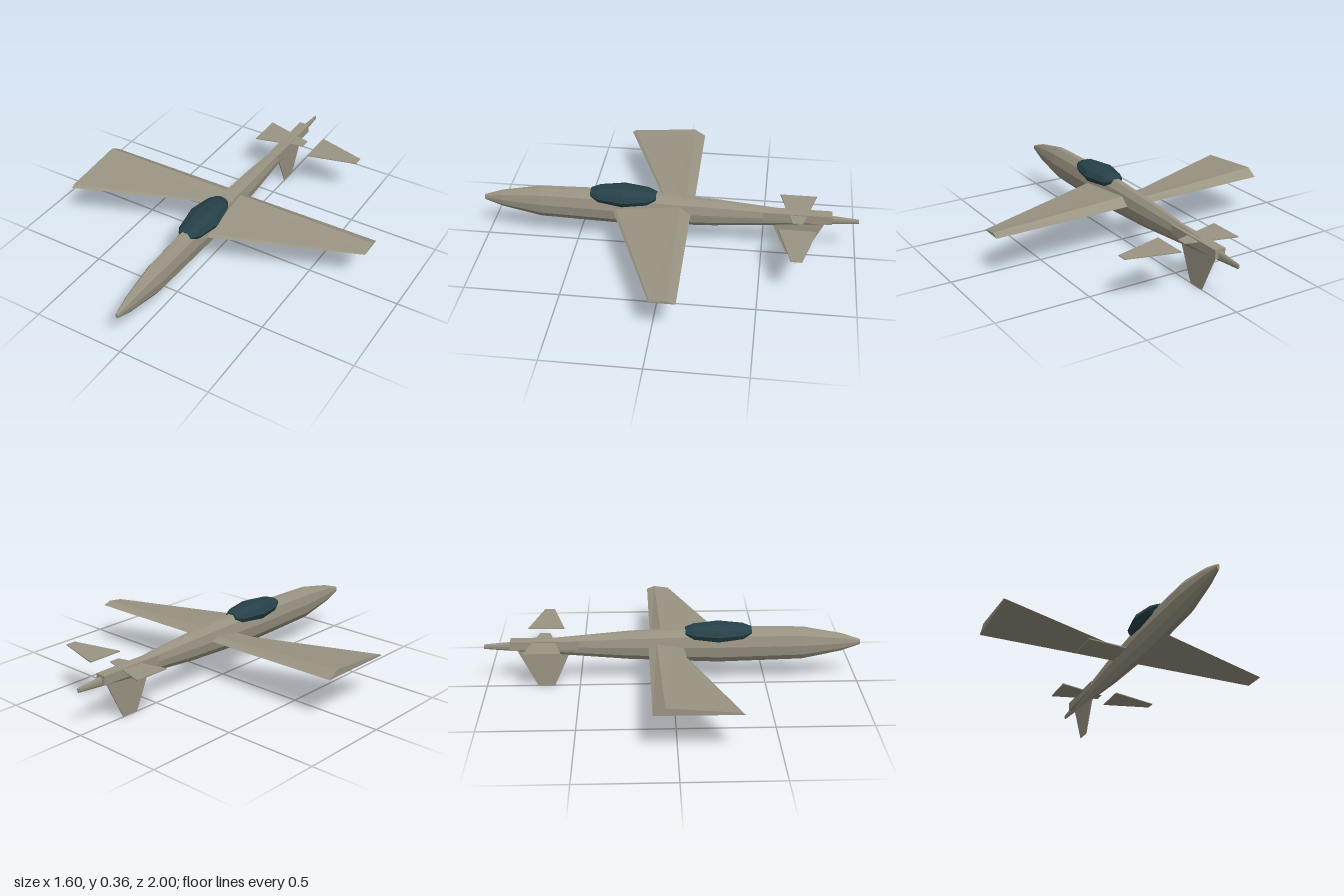
import * as THREE from 'three';

const paint = new THREE.MeshStandardMaterial({ color: 0x9a9483, flatShading: true });
const glass = new THREE.MeshStandardMaterial({ color: 0x264149, flatShading: true });

// Closed skin through cross-sections; the first one runs counter-clockwise seen from outside
function loft(name, sections, material) {
  const n = sections[0].length;
  const last = (sections.length - 1) * n;
  const index = [];
  for (let s = 0; s < last; s += n) {
    for (let i = 0; i < n; i++) {
      const j = (i + 1) % n;
      index.push(s + i, s + n + i, s + j, s + j, s + n + i, s + n + j);
    }
  }
  for (let i = 1; i < n - 1; i++) {
    index.push(0, i, i + 1, last, last + i + 1, last + i);
  }
  const geometry = new THREE.BufferGeometry();
  geometry.setAttribute('position', new THREE.Float32BufferAttribute(sections.flat(2), 3));
  geometry.setIndex(index);
  const flat = geometry.toNonIndexed();
  flat.computeVertexNormals();
  const mesh = new THREE.Mesh(flat, material);
  mesh.name = name;
  return mesh;
}

// Ten-sided oval ring across the body
function ring([z, cy, rx, ry]) {
  return Array.from({ length: 10 }, (_, i) => {
    const a = (i / 10) * Math.PI * 2;
    return [rx * Math.cos(a), cy + ry * Math.sin(a), z];
  });
}

// Section at one x from [z, y] pairs
const rib = (x, points) => points.map(([z, y]) => [x, y, z]);

// Thin flat rib
const thinRib = (x, front, back, y, t) =>
  rib(x, [[front, y - t], [front, y + t], [back, y + t], [back, y - t]]);

export function createModel() {
  const model = new THREE.Group();
  model.name = 'aircraft';

  // Slender body: z, centre y, half width, vertical radius
  const body = [
    [1.0, 0.235, 0.007, 0.015], [0.9, 0.235, 0.024, 0.05], [0.69, 0.234, 0.046, 0.092],
    [0.24, 0.234, 0.055, 0.103], [-0.24, 0.234, 0.042, 0.08], [-0.7, 0.234, 0.018, 0.04],
    [-1.0, 0.234, 0.005, 0.013],
  ];
  model.add(loft('fuselage', body.map(ring), paint));

  // Faceted canopy bubble
  const bubble = [
    [0.415, 0.312, 0.038, 0.018], [0.37, 0.306, 0.065, 0.041], [0.24, 0.305, 0.09, 0.054],
    [0.11, 0.306, 0.065, 0.041], [0.065, 0.312, 0.038, 0.018],
  ];
  model.add(loft('canopy', bubble.map(ring), glass));

  // Two wing panels that taper the same way
  for (const [name, x] of [['leftWing', 0], ['rightWing', -0.8]]) {
    model.add(loft(name, [
      rib(x, [[0.313, 0.236], [0.295, 0.247], [-0.06, 0.277], [-0.12, 0.238]]),
      rib(x + 0.8, [[0, 0.236], [-0.006, 0.241], [-0.087, 0.252], [-0.13, 0.236]]),
    ], paint));
  }

  // Small plate under the right wing root
  model.add(loft('wingRootPlate', [
    thinRib(-0.27, 0.078, -0.1, 0.233, 0.003),
    thinRib(-0.02, 0.052, -0.06, 0.233, 0.003),
  ], paint));

  // Stabilizers, tapering the same way as the wings
  for (const [name, x] of [['leftStabilizer', 0.165], ['rightStabilizer', -0.168]]) {
    model.add(loft(name, [
      thinRib(x, -0.585, -0.78, 0.262, 0.003),
      thinRib(x + 0.267, -0.655, -0.71, 0.262, 0.002),
    ], paint));
  }

  // Tail block around the boom
  const block = new THREE.Mesh(new THREE.BoxGeometry(0.058, 0.048, 0.36), paint);
  block.name = 'tailBlock';
  block.position.set(0, 0.245, -0.68);
  model.add(block);

  // Downward fin
  const finRib = (y, front, back, t) =>
    [[t, y, front], [t, y, back], [-t, y, back], [-t, y, front]];
  model.add(loft('ventralFin', [
    finRib(0.25, -0.524, -0.845, 0.004),
    finRib(0, -0.635, -0.725, 0.002),
  ], paint));

  return model;
}
